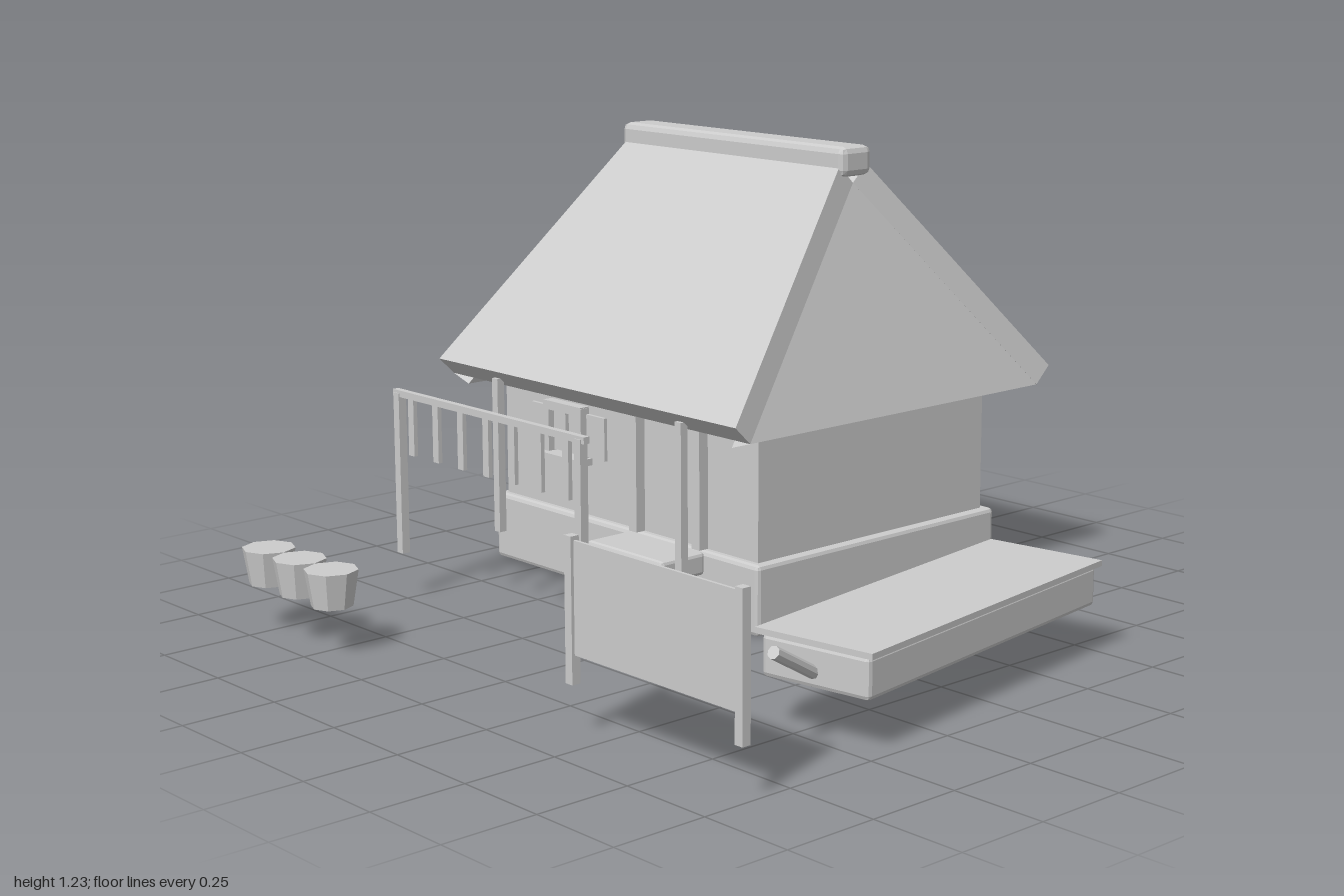
import * as THREE from 'three';
import { RoundedBoxGeometry } from 'three/addons/geometries/RoundedBoxGeometry.js';
import { ConvexGeometry } from 'three/addons/geometries/ConvexGeometry.js';

const paleGrey = new THREE.MeshStandardMaterial({ color: 0xcccccc });
paleGrey.name = 'pale grey';

function add(parent, name, geometry, x = 0, y = 0, z = 0) {
  const mesh = new THREE.Mesh(geometry, paleGrey);
  mesh.name = name;
  mesh.position.set(x, y, z);
  parent.add(mesh);
  return mesh;
}

// Box given by its extents on each axis; a bevel above zero chamfers its edges
function box(parent, name, [x0, x1], [y0, y1], [z0, z1], bevel = 0) {
  const size = [x1 - x0, y1 - y0, z1 - z0];
  const geometry = bevel ? new RoundedBoxGeometry(...size, 1, bevel) : new THREE.BoxGeometry(...size);
  if (bevel) geometry.computeVertexNormals();
  return add(parent, name, geometry, (x0 + x1) / 2, (y0 + y1) / 2, (z0 + z1) / 2);
}

// Flat panel thickened along an offset
function slab(parent, name, corners, offset, x, z) {
  const outer = corners.map((c) => new THREE.Vector3(...c));
  const shift = new THREE.Vector3(...offset);
  const points = [...outer, ...outer.map((p) => p.clone().add(shift))];
  return add(parent, name, new ConvexGeometry(points), x, 0, z);
}

function group(parent, name) {
  const g = new THREE.Group();
  g.name = name;
  parent.add(g);
  return g;
}

export function createModel() {
  const model = new THREE.Group();
  model.name = 'thatchedHouse';

  // House body
  const house = group(model, 'house');
  box(house, 'plinth', [-0.93, 0.16], [0, 0.19], [-0.85, 0.055], 0.012);
  box(house, 'walls', [-0.905, 0.135], [0.18, 0.55], [-0.82, 0.03]);

  // Roof: two sloping slabs front and back, two triangular slabs at the ends
  const roof = group(model, 'roof');
  const cx = -0.3875, cz = -0.4;
  for (const s of [1, -1]) {
    slab(roof, s > 0 ? 'frontRoof' : 'backRoof', [
      [-0.6125, 0.585, 0.593 * s], [0.6125, 0.585, 0.593 * s],
      [0.4275, 1.175, 0.05 * s], [-0.4275, 1.175, 0.05 * s],
    ], [0, -0.048, -0.05 * s], cx, cz);
    slab(roof, s > 0 ? 'leftRoof' : 'rightRoof', [
      [0.612 * s, 0.537, 0.543], [0.612 * s, 0.537, -0.543], [0.4275 * s, 1.127, 0],
    ], [-0.067 * s, -0.021, 0], cx, cz);
  }
  box(roof, 'ridge', [-0.832, 0.057], [1.145, 1.225], [-0.455, -0.345], 0.018);

  // Door frame and step
  const door = group(model, 'door');
  for (const x of [-0.325, -0.073]) box(door, 'doorPost', [x - 0.016, x + 0.016], [0.19, 0.535], [0.03, 0.06]);
  box(door, 'doorStep', [-0.35, -0.045], [0.125, 0.187], [0.05, 0.203], 0.01);

  // Window with shutters and sill
  const win = group(model, 'window');
  const wx = -0.622;
  box(win, 'shutters', [wx - 0.158, wx + 0.158], [0.355, 0.475], [0.03, 0.04]);
  for (const x of [-0.07, 0.07]) box(win, 'windowSide', [wx + x - 0.012, wx + x + 0.012], [0.35, 0.492], [0.03, 0.06]);
  box(win, 'windowTop', [wx - 0.08, wx + 0.08], [0.47, 0.495], [0.03, 0.06]);
  box(win, 'windowBar', [wx - 0.006, wx + 0.006], [0.35, 0.475], [0.03, 0.052]);
  box(win, 'windowSill', [wx - 0.094, wx + 0.094], [0.333, 0.352], [0.03, 0.08]);

  // Posts under the eaves, and the drying rack in front
  const porch = group(model, 'porch');
  const rack = group(model, 'dryingRack');
  for (const x of [-0.767, -0.008]) {
    box(porch, 'eavePost', [x - 0.012, x + 0.012], [0.125, 0.56], [0.155, 0.178]);
    box(rack, 'rackPost', [x - 0.012, x + 0.012], [0.125, 0.567], [0.485, 0.509]);
  }
  box(rack, 'rackRail', [-0.785, 0.015], [0.557, 0.575], [0.488, 0.506]);
  for (let i = 0; i < 7; i++) {
    const x = -0.71 + i * 0.108;
    box(rack, 'hangingStrip', [x - 0.012, x + 0.012], [0.403, 0.56], [0.491, 0.503]);
  }

  // Three tapered tubs
  const tubs = group(model, 'tubs');
  const tub = new THREE.CylinderGeometry(0.07, 0.054, 0.095, 8).toNonIndexed();
  tub.computeVertexNormals();
  for (const x of [-0.767, -0.625, -0.483]) add(tubs, 'tub', tub, x, 0.17, 0.922);

  // Screen panel between two posts
  const screen = group(model, 'screen');
  for (const x of [0.418, 0.985]) box(screen, 'screenPost', [x - 0.012, x + 0.012], [0.125, 0.475], [0.865, 0.889]);
  box(screen, 'screenPanel', [0.418, 0.985], [0.195, 0.465], [0.873, 0.881]);

  // Low platform turned a little, with a slanting handle
  const platform = group(model, 'platform');
  platform.position.set(0.749, 0, 0.022);
  platform.rotation.y = 0.152;
  box(platform, 'platformBody', [-0.152, 0.152], [0.125, 0.23], [-0.488, 0.488], 0.012);
  box(platform, 'platformTop', [-0.165, 0.165], [0.228, 0.243], [-0.495, 0.495]);
  const from = new THREE.Vector3(0.817, 0.163, 0.5);
  const to = new THREE.Vector3(0.841, 0.248, 0.65);
  const rod = new THREE.CylinderGeometry(0.016, 0.016, from.distanceTo(to), 8).toNonIndexed();
  rod.computeVertexNormals();
  const handle = add(model, 'handle', rod);
  handle.position.lerpVectors(from, to, 0.5);
  handle.quaternion.setFromUnitVectors(new THREE.Vector3(0, 1, 0), to.clone().sub(from).normalize());

  return model;
}
